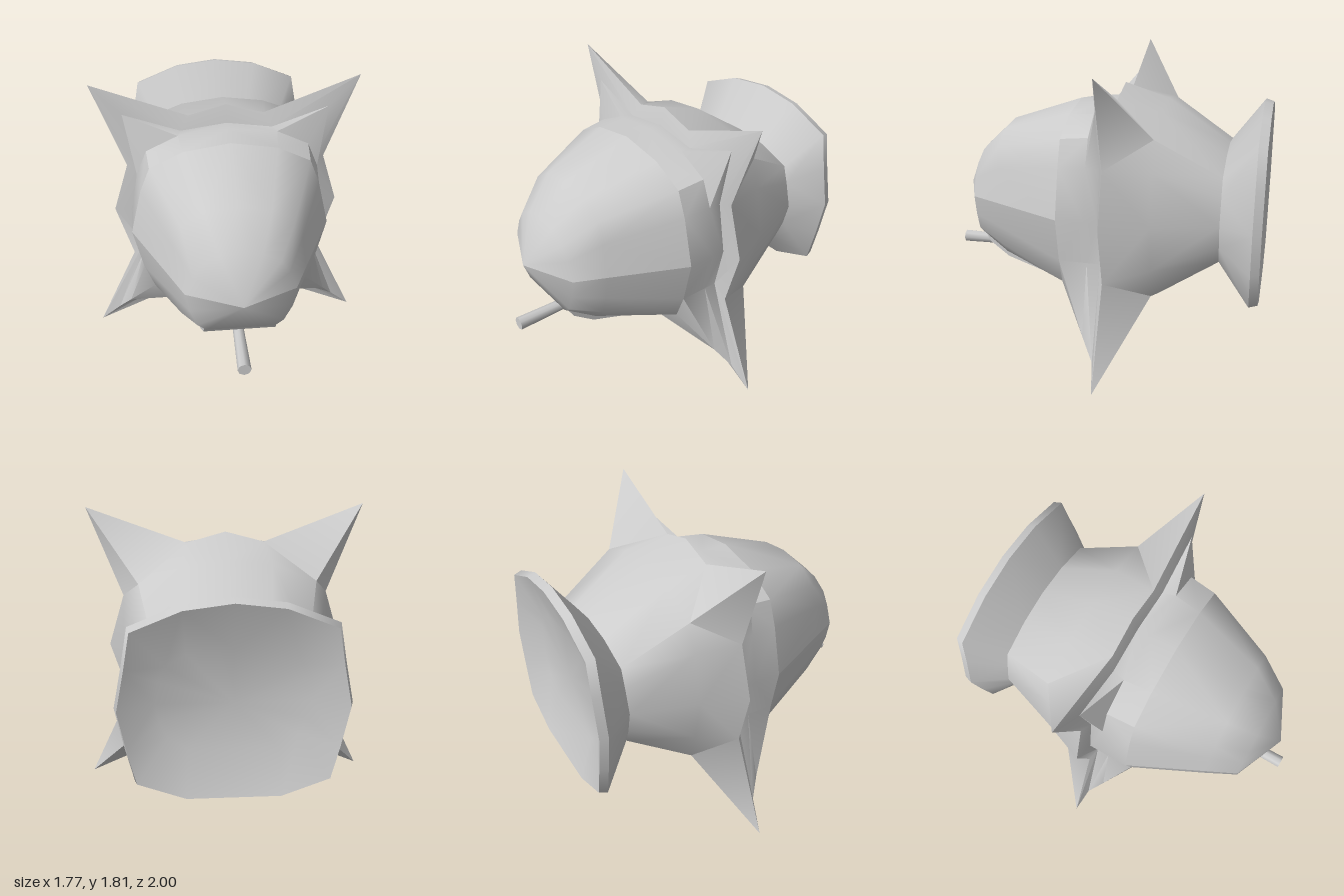
import * as THREE from 'three';
import { toCreasedNormals } from 'three/addons/utils/BufferGeometryUtils.js';

const material = new THREE.MeshStandardMaterial({ color: 0xcccccc });

// Right half of a section (top centre round to the underside), mirrored into a closed ring.
function ring(z, half) {
  const left = half.slice(1).reverse().map(([x, y]) => [-x, y]);
  return half.concat(left).map(([x, y]) => new THREE.Vector3(x, y, z));
}

// Same section shrunk about the axis.
function scaled(z, half, s, cy = 0.945) {
  return ring(z, half.map(([x, y]) => [x * s, cy + (y - cy) * s]));
}

// Skin rings running from front to back, over the whole ring or a span of its edges.
// Diagonals meet at the corner points of the rear ring, mirrored left to right.
function loft(rings, crease, from = 0, to = rings[0].length) {
  const pos = [];
  const tri = (p, q, r) => {
    const area = q.clone().sub(p).cross(r.clone().sub(p)).length();
    if (area > 1e-7) for (const v of [p, q, r]) pos.push(v.x, v.y, v.z);
  };
  for (let k = 0; k < rings.length - 1; k++) {
    const a = rings[k], b = rings[k + 1], n = a.length;
    for (let e = from; e < to; e++) {
      const i = e % n, j = (e + 1) % n;
      if ((i % 2 === 0) === (i < n / 2)) {
        tri(b[i], a[i], a[j]);
        tri(b[i], a[j], b[j]);
      } else {
        tri(b[i], a[i], b[j]);
        tri(a[i], a[j], b[j]);
      }
    }
  }
  const g = new THREE.BufferGeometry();
  g.setAttribute('position', new THREE.Float32BufferAttribute(pos, 3));
  return toCreasedNormals(g, crease);
}

export function createModel() {
  const model = new THREE.Group();
  model.name = 'pod';
  const add = (name, geometry) => {
    const mesh = new THREE.Mesh(geometry, material);
    mesh.name = name;
    model.add(mesh);
  };

  // Sections of the hull
  const dome = [[0, 1.54], [0.28, 1.495], [0.48, 1.395], [0.54, 1.24], [0.61, 0.945], [0.55, 0.67], [0.49, 0.51], [0.27, 0.4]];
  const mid = [[0, 1.39], [0.19, 1.365], [0.32, 1.28], [0.365, 1.15], [0.4, 0.945], [0.37, 0.78], [0.335, 0.65], [0.25, 0.565]];
  const nose = [[0, 1.22], [0.12, 1.2], [0.22, 1.14], [0.27, 1.06], [0.315, 0.945], [0.29, 0.82], [0.25, 0.71], [0.2, 0.67]];
  const collar = [[0, 1.54], [0.3, 1.51], [0.495, 1.415], [0.56, 1.255], [0.61, 0.945], [0.55, 0.67], [0.667, 0.25], [0.27, 0.4]];
  const innerStar = [[0, 1.54], [0.28, 1.5], [0.625, 1.625], [0.555, 1.25], [0.61, 0.945], [0.55, 0.67], [0.75, 0.13], [0.27, 0.4]];
  const star = [[0, 1.65], [0.23, 1.585], [0.81, 1.81], [0.62, 1.26], [0.72, 0.935], [0.62, 0.575], [0.885, 0], [0.23, 0.305]];
  const shoulder = [[0, 1.565], [0.26, 1.53], [0.51, 1.43], [0.56, 1.25], [0.62, 0.945], [0.56, 0.66], [0.51, 0.48], [0.26, 0.38]];
  const waist = [[0, 1.31], [0.21, 1.285], [0.42, 1.21], [0.455, 1.1], [0.495, 0.945], [0.46, 0.8], [0.42, 0.7], [0.21, 0.63]];
  const flare = [[0, 1.57], [0.27, 1.535], [0.545, 1.42], [0.585, 1.2], [0.635, 0.955], [0.59, 0.7], [0.545, 0.49], [0.27, 0.38]];
  const floor = [[0, 1.26], [0.25, 1.24], [0.36, 1.17], [0.4, 1.08], [0.42, 0.95], [0.4, 0.84], [0.36, 0.74], [0.25, 0.66]];

  // Nose: rounded upper dome and lower jaw, meeting in a sharp edge
  const front = [scaled(0.93, nose, 0), ring(0.79, nose), ring(0.61, mid), ring(0.17, dome)];
  add('upperDome', loft(front, 1.1, 11, 19));
  add('lowerJaw', loft(front, 1.1, 4, 11));

  // Collar growing into the small front spikes, then the large four-pointed rim
  add('spikedCollar', loft([
    ring(0.17, dome), ring(0, collar), ring(-0.08, innerStar),
  ], 0.7));
  add('starRim', loft([ring(-0.08, innerStar), ring(-0.11, star)], 0.7));

  // Tapered rear body
  add('rearBody', loft([
    ring(-0.11, star), ring(-0.38, shoulder), ring(-0.76, waist),
  ], 1.2));

  // Flared exhaust bell, its rim and the shallow dish closing it
  const rim = scaled(-1, flare, 0.975);
  add('exhaustBell', loft([ring(-0.76, waist), ring(-0.95, flare)], 1.2));
  add('exhaustRim', loft([ring(-0.95, flare), rim], 1.2));
  add('exhaustDish', loft([rim, ring(-0.91, floor), scaled(-0.91, floor, 0)], 0.9));

  // Chin block under the nose: side profile (z, y) extruded across x
  const chin = new THREE.Shape(
    [[0.17, 0.402], [0.4, 0.46], [0.61, 0.52], [0.74, 0.61], [0.77, 0.67], [0.6, 0.66], [0.17, 0.5]]
      .map(([z, y]) => new THREE.Vector2(z, y)));
  const chinGeometry = new THREE.ExtrudeGeometry(chin, { depth: 0.54, bevelEnabled: false });
  chinGeometry.translate(0, 0, -0.27).rotateY(-Math.PI / 2);
  const p = chinGeometry.attributes.position;
  for (let i = 0; i < p.count; i++) {
    // narrow towards the front
    p.setX(i, p.getX(i) * (1 - 0.22 * Math.max(0, (p.getZ(i) - 0.17) / 0.6)));
  }
  chinGeometry.computeVertexNormals();
  add('chinBlock', chinGeometry);

  // Barrel
  const barrel = new THREE.CylinderGeometry(0.04, 0.03, 0.5, 8);
  add('barrel', toCreasedNormals(barrel, 0.9).rotateX(Math.PI / 2).translate(0, 0.54, 0.75));

  return model;
}
